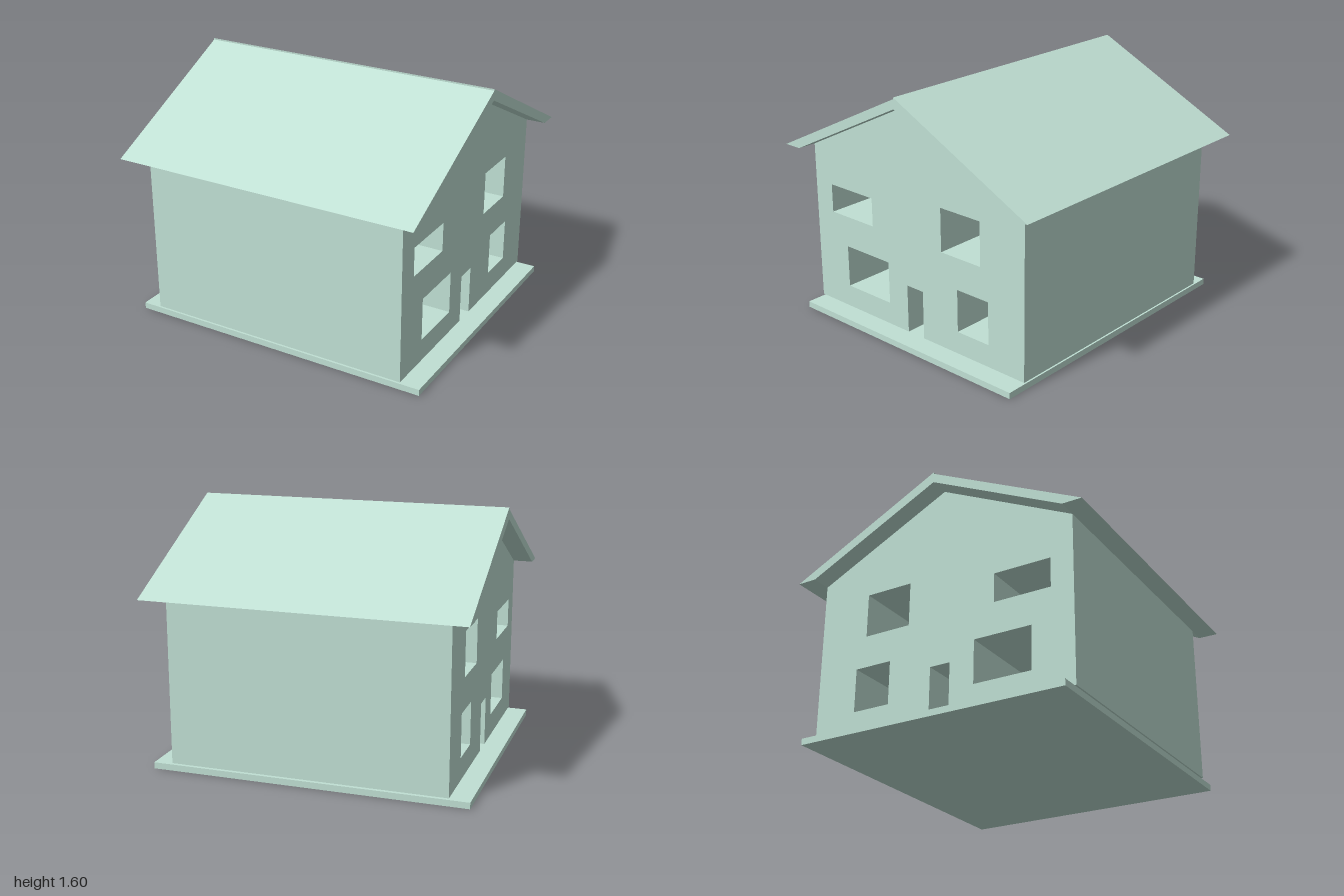
import * as THREE from 'three';

const material = new THREE.MeshStandardMaterial({ color: 0xc0e0d4, flatShading: true });

// Profile in (u, y) with u = -z, extruded along x and centred on x = 0
function extrudeAlongX(name, points, length, holes = []) {
  const shape = new THREE.Shape(points.map(([u, y]) => new THREE.Vector2(u, y)));
  for (const [u0, u1, y0, y1] of holes) {
    shape.holes.push(new THREE.Path([
      new THREE.Vector2(u0, y0), new THREE.Vector2(u0, y1),
      new THREE.Vector2(u1, y1), new THREE.Vector2(u1, y0),
    ]));
  }
  const geometry = new THREE.ExtrudeGeometry(shape, { depth: length, bevelEnabled: false });
  geometry.translate(0, 0, -length / 2).rotateY(Math.PI / 2);
  const mesh = new THREE.Mesh(geometry, material);
  mesh.name = name;
  return mesh;
}

export function createModel() {
  const house = new THREE.Group();
  house.name = 'house';
  const wall = 0.875, eaveY = 1.1;

  // Base slab, with a narrow gap below the walls
  const base = new THREE.Mesh(new THREE.BoxGeometry(2, 0.04, wall * 2), material);
  base.name = 'baseSlab';
  base.position.y = 0.02;
  house.add(base);

  // House body: windows and doorway run right through from side to side
  const windows = [
    [-0.73, -0.36, 0.675, 0.86],
    [0.23, 0.54, 0.675, 0.955],
    [-0.605, -0.23, 0.195, 0.47],
    [0.355, 0.6, 0.195, 0.47],
  ];
  house.add(extrudeAlongX('body', [
    [-wall, 0.05], [-0.068, 0.05], [-0.068, 0.365], [0.066, 0.365], [0.066, 0.05],
    [wall, 0.05], [wall, eaveY], [-wall, eaveY],
  ], wall * 2, windows));

  // Triangular gable block under the roof
  house.add(extrudeAlongX('gable', [[-wall, eaveY], [wall, eaveY], [0, 1.53]], wall * 2));

  // Overhanging roof slopes, the rear one a touch higher at the ridge
  house.add(extrudeAlongX('frontRoof', [[-1, eaveY], [-wall, eaveY], [0, 1.53], [0, 1.59]], 2));
  house.add(extrudeAlongX('backRoof', [[0, 1.53], [wall, eaveY], [1, eaveY], [0, 1.6]], 2));

  return house;
}
